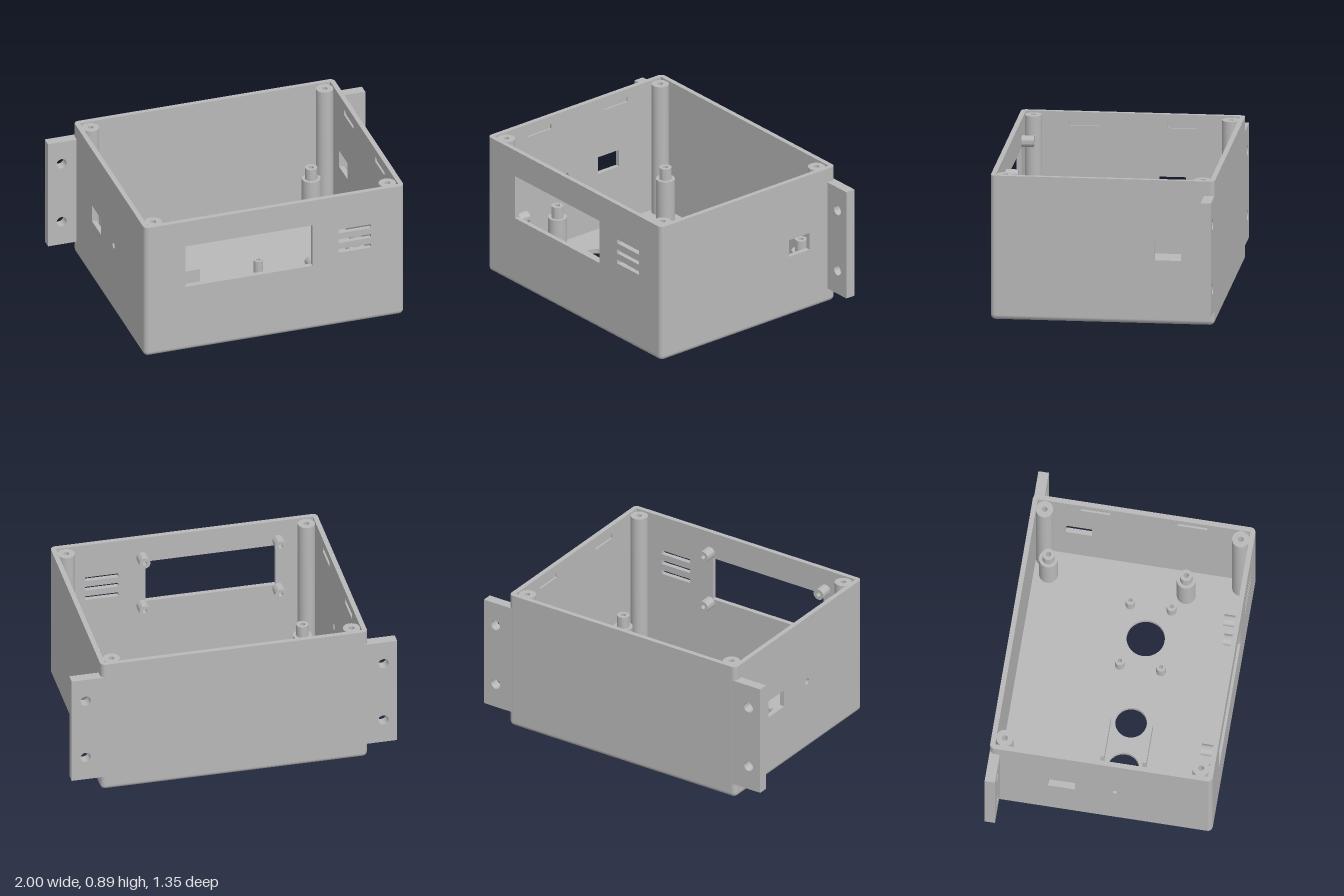
import * as THREE from 'three';
import { toCreasedNormals } from 'three/addons/utils/BufferGeometryUtils.js';

const W = 0.82, D = 0.675, H = 0.89, T = 0.03; // half width, half depth, height, wall
const IX = W - T, IZ = D - T;
const SIDES = [-1, 1];

// cut-out paths
function rectHole(x0, y0, x1, y1) {
  const p = new THREE.Path();
  p.moveTo(x0, y0); p.lineTo(x0, y1); p.lineTo(x1, y1); p.lineTo(x1, y0); p.closePath();
  return p;
}
function roundHole(x, y, r) {
  const p = new THREE.Path();
  p.absarc(x, y, r, 0, Math.PI * 2, true);
  return p;
}
// flat rectangular plate with cut-outs, thickness along +z
function plate(x0, y0, x1, y1, depth, holes = []) {
  const s = new THREE.Shape();
  s.moveTo(x0, y0); s.lineTo(x1, y0); s.lineTo(x1, y1); s.lineTo(x0, y1); s.closePath();
  s.holes.push(...holes);
  const g = new THREE.ExtrudeGeometry(s, { depth, bevelEnabled: false, curveSegments: 20 });
  return toCreasedNormals(g, 0.6);
}
// turned post from a list of [radius, y] points
function turned(points) {
  const g = new THREE.LatheGeometry(points.map(p => new THREE.Vector2(p[0], p[1])), 28);
  return toCreasedNormals(g, 0.6);
}
function post(r, h, hole, depth) {
  return turned([[r, 0], [r, h], [hole, h], [hole, h - depth], [0, h - depth]]);
}

export function createModel() {
  const model = new THREE.Group();
  model.name = 'enclosure';
  const grey = new THREE.MeshStandardMaterial({ color: 0xb8b8b8 });
  grey.name = 'grey plastic';
  const add = (name, geometry, x = 0, y = 0, z = 0) => {
    const m = new THREE.Mesh(geometry, grey);
    m.name = name;
    m.position.set(x, y, z);
    model.add(m);
    return m;
  };

  // front wall with display window and three vents
  const frontHoles = [rectHole(-0.56, 0.44, 0.24, 0.72)];
  for (const y of [0.513, 0.58, 0.647]) frontHoles.push(rectHole(0.405, y - 0.013, 0.61, y + 0.013));
  add('frontWall', plate(-IX, T, IX, H, T, frontHoles), 0, 0, IZ);
  add('backWall', plate(-IX, T, IX, H, T), 0, 0, -D);

  // side walls: outer skin, and inner skin with snap recesses (plate x is -z)
  const skin = 0.018;
  for (const s of SIDES) {
    const ports = () => s > 0
      ? [rectHole(0.315, 0.395, 0.475, 0.505)]
      : [rectHole(0.155, 0.395, 0.32, 0.505), roundHole(-0.09, 0.454, 0.02)];
    const recesses = SIDES.map(k => rectHole(k * 0.295 - 0.09, 0.805, k * 0.295 + 0.09, 0.838));
    const outer = plate(-IZ, T, IZ, H, skin, ports()).rotateY(Math.PI / 2);
    const inner = plate(-IZ, T, IZ, H, T - skin, [...ports(), ...recesses]).rotateY(Math.PI / 2);
    add('sideWallOuter', outer, s > 0 ? W - skin : -W);
    add('sideWallInner', inner, s > 0 ? IX : -W + skin);
  }

  // floor with three round openings
  const floorHoles = [
    roundHole(-0.505, 0.085, 0.095), roundHole(-0.215, 0.085, 0.095), roundHole(0.33, 0.085, 0.115)
  ];
  add('floor', plate(-IX, -IZ, IX, IZ, T, floorHoles).rotateX(Math.PI / 2), 0, T, 0);

  // rounded edges and corners
  const q = Math.PI / 2;
  const quarter = (len, start) => new THREE.CylinderGeometry(T, T, len, 6, 1, false, start, q);
  for (const s of SIDES) {
    add('bottomEdgeLong', quarter(2 * IX, s > 0 ? 3 * q : 2 * q).rotateZ(q), 0, T, s * IZ);
    add('bottomEdgeShort', quarter(2 * IZ, s > 0 ? 0 : 3 * q).rotateX(q), s * IX, T, 0);
    for (const k of SIDES) {
      const start = s > 0 ? (k > 0 ? 0 : q) : (k > 0 ? 3 * q : 2 * q);
      add('uprightEdge', quarter(H - T, start), s * IX, (H + T) / 2, k * IZ);
      add('bottomCorner', new THREE.SphereGeometry(T, 16, 12), s * IX, T, k * IZ);
    }
  }

  // wall mounting flanges
  for (const s of SIDES) {
    const holes = [0.25, 0.65].map(y => roundHole(s * 0.915, y, 0.032));
    const x0 = s > 0 ? IX + 0.005 : -1, x1 = s > 0 ? 1 : -IX - 0.005;
    add('mountingFlange', plate(x0, 0.095, x1, 0.8, 0.063, holes), 0, 0, -D);
  }

  // lid screw posts in the corners, stepped board posts on the floor
  for (const s of SIDES) {
    for (const z of [-0.595, 0.595]) add('lidScrewPost', post(0.052, 0.88 - T, 0.017, 0.15), s * 0.738, T, z);
    for (const z of [-0.555, 0.28]) {
      add('boardPost', turned([
        [0.057, 0], [0.057, 0.27], [0.037, 0.27], [0.037, 0.345], [0.016, 0.345], [0.016, 0.2], [0, 0.2]
      ]), s * 0.64, T, z);
    }
  }

  // small sensor posts around the large opening
  for (const x of [0.135, 0.525]) {
    for (const z of [-0.04, 0.21]) add('sensorPost', post(0.029, 0.08, 0.013, 0.06), x, T, z);
  }

  // holding ribs beside the twin openings
  for (const z of [-0.045, 0.21]) {
    add('holdingRib', new THREE.BoxGeometry(0.25, 0.085, 0.022), -0.36, T + 0.0425, z);
  }

  // display posts on the inside of the front wall
  for (const x of [-0.575, 0.26]) {
    for (const y of [0.415, 0.755]) {
      add('displayPost', post(0.035, 0.075, 0.014, 0.06).rotateX(-q), x, y, IZ);
    }
  }
  return model;
}
